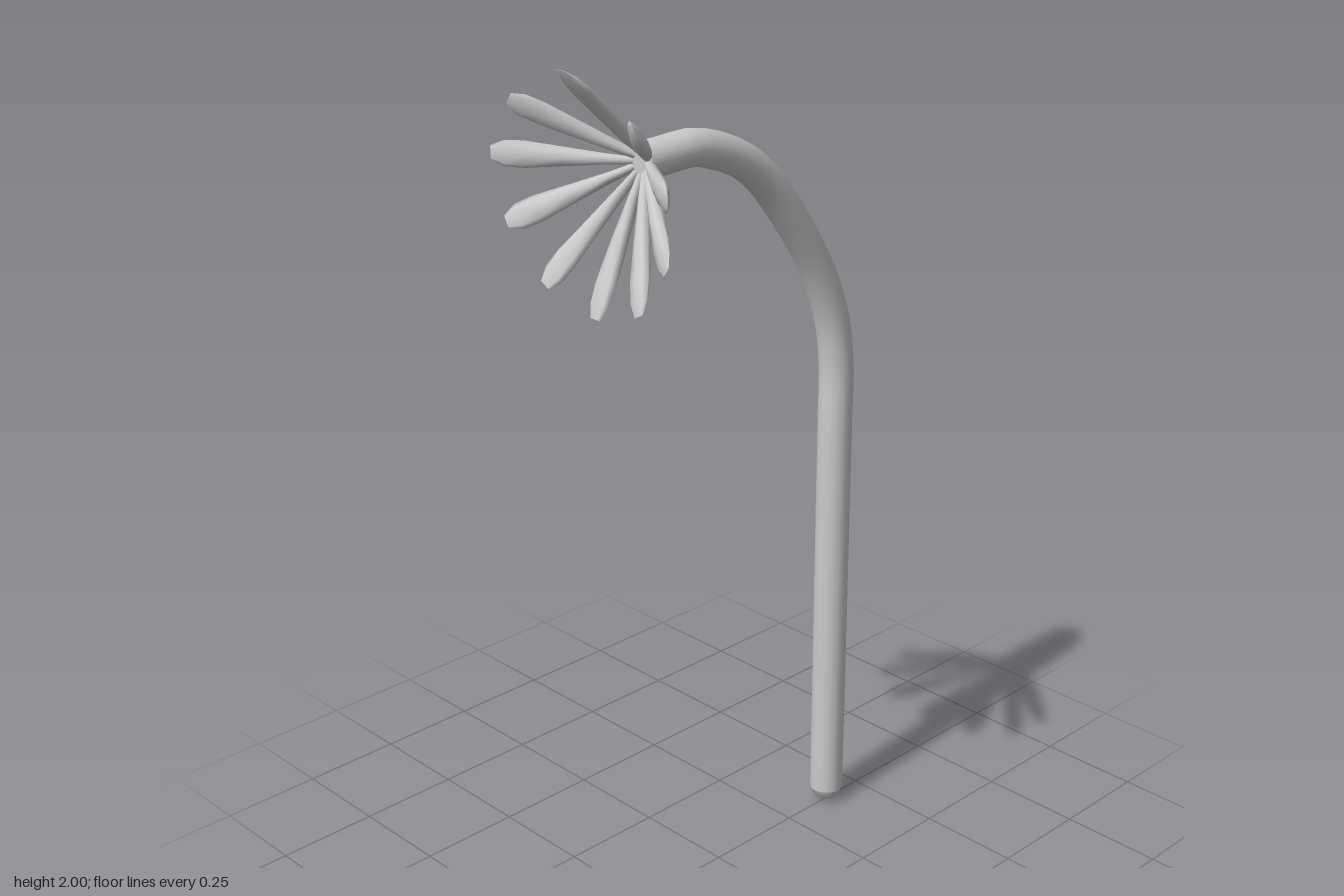
import * as THREE from 'three';

const material = new THREE.MeshStandardMaterial({ color: 0xcccccc, side: THREE.DoubleSide });
const RADIUS = 0.041;
const STEM_Z = -0.386;

function addMesh(parent, name, geometry) {
  const mesh = new THREE.Mesh(geometry, material);
  mesh.name = name;
  parent.add(mesh);
  return mesh;
}

// Petal: oval sections lofted from base to tip; [t, half width, half thickness]
const PETAL_SECTIONS = [
  [0, 0.008, 0.010],
  [0.2, 0.012, 0.014],
  [0.5, 0.021, 0.016],
  [0.76, 0.029, 0.014],
  [0.9, 0.028, 0.009],
  [1, 0.016, 0.001],
];

function petalGeometry(base, tip) {
  const sides = 8;
  const along = tip.clone().sub(base).normalize();
  const across = new THREE.Vector3(0, 0, 1).cross(along).normalize();
  const thick = along.clone().cross(across);
  const positions = [];
  const index = [];
  PETAL_SECTIONS.forEach(([t, w, h], row) => {
    const centre = base.clone().lerp(tip, t);
    for (let i = 0; i < sides; i++) {
      const a = (i / sides) * Math.PI * 2;
      const p = centre.clone()
        .addScaledVector(across, w * Math.cos(a))
        .addScaledVector(thick, h * Math.sin(a));
      positions.push(p.x, p.y, p.z);
      if (row === 0) continue;
      const j = (i + 1) % sides;
      const lo = (row - 1) * sides;
      const hi = row * sides;
      index.push(lo + i, lo + j, hi + i, lo + j, hi + j, hi + i);
    }
  });
  // Blunt closed tip
  const last = (PETAL_SECTIONS.length - 1) * sides;
  for (let i = 1; i < sides - 1; i++) index.push(last, last + i, last + i + 1);
  const geometry = new THREE.BufferGeometry();
  geometry.setAttribute('position', new THREE.Float32BufferAttribute(positions, 3));
  geometry.setIndex(index);
  geometry.computeVertexNormals();
  return geometry;
}

export function createModel() {
  const model = new THREE.Group();
  model.name = 'droopingFlower';

  // Stem: straight below, arching forward at the top; points are [y, z]
  const path = new THREE.CatmullRomCurve3([
    [0.04, STEM_Z], [0.6, STEM_Z], [1.05, STEM_Z], [1.18, STEM_Z], [1.305, -0.366],
    [1.443, -0.308], [1.592, -0.208], [1.687, -0.127], [1.738, -0.058],
    [1.785, 0.069], [1.785, 0.15], [1.782, 0.226],
  ].map(([y, z]) => new THREE.Vector3(0, y, z)), false, 'centripetal');
  addMesh(model, 'stem', new THREE.TubeGeometry(path, 60, RADIUS, 16));

  // Tapered foot of the stem
  const foot = addMesh(model, 'stemFoot', new THREE.LatheGeometry([
    new THREE.Vector2(0, 0), new THREE.Vector2(0.016, 0.007),
    new THREE.Vector2(0.033, 0.019), new THREE.Vector2(RADIUS, 0.042),
  ], 16));
  foot.position.z = STEM_Z;

  // Closed end of the stem behind the petals
  const end = addMesh(model, 'stemEnd', new THREE.CircleGeometry(RADIUS, 16));
  end.position.set(0, 1.782, 0.226);

  // Ten petals, mirrored left and right; tips are [x, y, z]
  const flower = new THREE.Group();
  flower.name = 'flower';
  model.add(flower);
  const tips = [
    [0, 2.0, 0.425], [0.186, 1.912, 0.41], [0.266, 1.785, 0.398],
    [0.243, 1.638, 0.382], [0.144, 1.52, 0.367], [0, 1.477, 0.357],
  ];
  for (const [x, y, z] of tips) {
    for (const side of x === 0 ? [1] : [1, -1]) {
      const tip = new THREE.Vector3(x * side, y, z);
      const base = new THREE.Vector3(tip.x, y - 1.78, 0).setLength(0.024);
      base.add(new THREE.Vector3(0, 1.78, 0.22));
      addMesh(flower, 'petal', petalGeometry(base, tip));
    }
  }
  return model;
}
